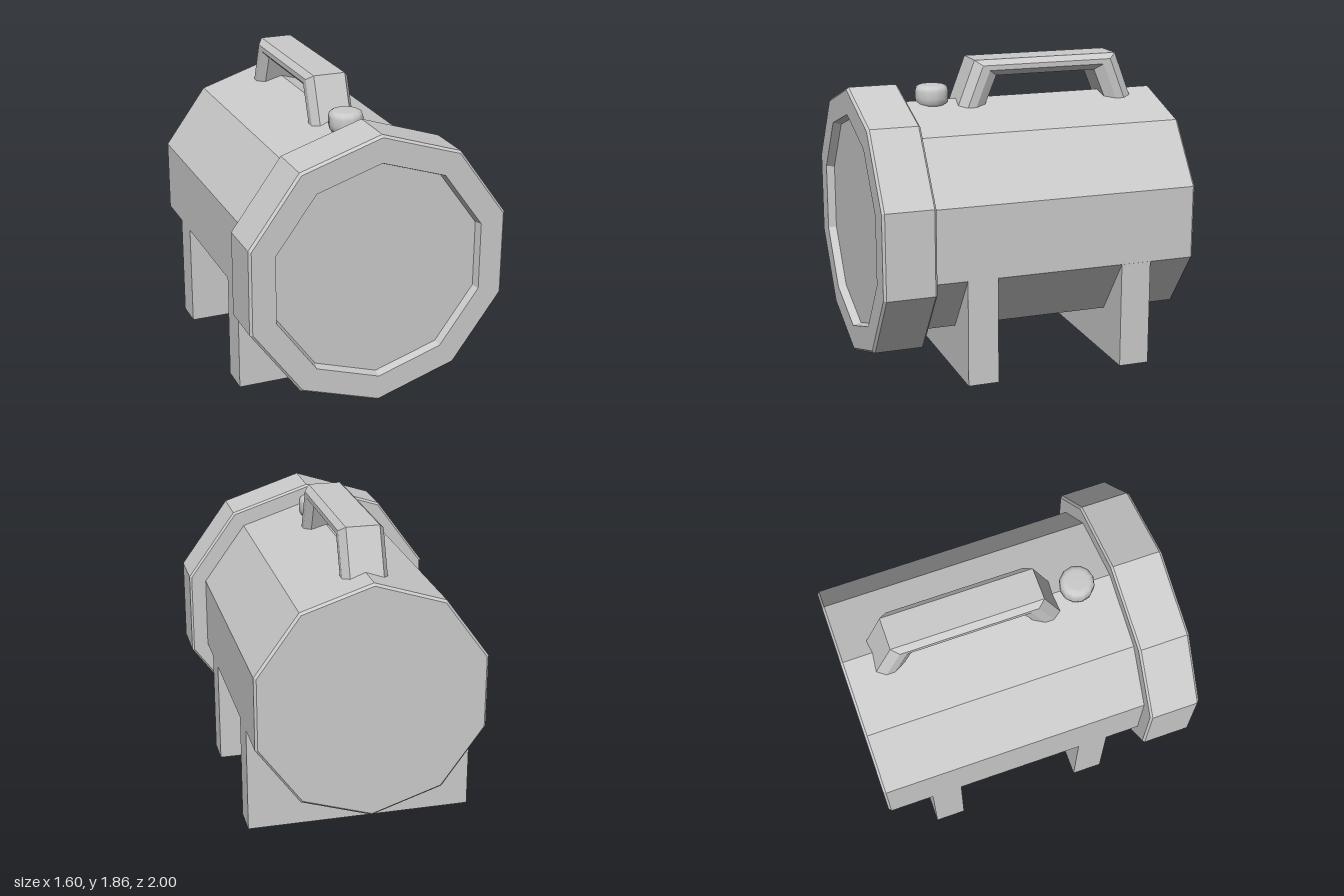
import * as THREE from 'three';

const AXIS_Y = 0.885; // height of the drum axis
const material = new THREE.MeshStandardMaterial({ color: 0xcccccc, flatShading: true });
const smoothMaterial = new THREE.MeshStandardMaterial({ color: 0xcccccc });

function addMesh(group, name, geometry, mat = material) {
  const mesh = new THREE.Mesh(geometry, mat);
  mesh.name = name;
  group.add(mesh);
  return mesh;
}

// Ten-sided solid turned around the z axis; profile is [radius, z] from back to front
function decagonSolid(profile) {
  const points = profile.map(([r, z]) => new THREE.Vector2(r, z));
  return new THREE.LatheGeometry(points, 10).rotateX(Math.PI / 2).translate(0, AXIS_Y, 0);
}

// Bevelled bar swept between an outer and an inner trapezoid in the zy plane
function handleGeometry() {
  const outer = [[0.333, 1.565], [0.22, 1.86], [-0.71, 1.86], [-0.823, 1.565]];
  const inner = [[0.16, 1.565], [0.08, 1.76], [-0.57, 1.76], [-0.65, 1.565]];
  const half = [[0.1, 0], [0.135, 0.32], [0.135, 0.63], [0.1, 1]];
  const section = [...half, ...half.map(([x, k]) => [-x, k]).reverse()];
  const n = section.length;
  const positions = [];
  const index = [];
  outer.forEach(([oz, oy], i) => {
    const [iz, iy] = inner[i];
    for (const [x, k] of section) {
      positions.push(x - 0.007, oy + (iy - oy) * k, oz + (iz - oz) * k);
    }
    if (i === 0) return;
    for (let j = 0; j < n; j++) {
      const a = (i - 1) * n + j;
      const b = (i - 1) * n + ((j + 1) % n);
      index.push(a, b, b + n, a, b + n, a + n);
    }
  });
  // End caps, sunk in the drum
  for (let j = 1; j < n - 1; j++) {
    index.push(0, j + 1, j, 3 * n, 3 * n + j, 3 * n + j + 1);
  }
  const geometry = new THREE.BufferGeometry();
  geometry.setAttribute('position', new THREE.Float32BufferAttribute(positions, 3));
  geometry.setIndex(index);
  geometry.computeVertexNormals();
  return geometry;
}

export function createModel() {
  const model = new THREE.Group();
  model.name = 'drumLamp';

  // Drum with a small bevel at the back
  addMesh(model, 'body', decagonSolid([[0, -1], [0.715, -1], [0.73, -0.985], [0.73, 0.72]]));

  // Wide front collar with a shallow recessed face
  addMesh(model, 'frontCollar', decagonSolid([
    [0.7, 0.68], [0.827, 0.68], [0.84, 0.693], [0.84, 0.985],
    [0.825, 1], [0.674, 1], [0.66, 0.95], [0, 0.95],
  ]));

  // Two slab feet, flush with the sides of the drum
  for (const [name, z] of [['frontFoot', 0.37], ['backFoot', -0.615]]) {
    addMesh(model, name, new THREE.BoxGeometry(1.388, 0.66, 0.19)).position.set(0, 0.33, z);
  }

  // Carrying handle
  addMesh(model, 'handle', handleGeometry());

  // Rounded push button
  const buttonProfile = [
    [0, -0.05], [0.085, -0.05], [0.1, -0.03], [0.105, 0], [0.105, 0.04],
    [0.098, 0.062], [0.08, 0.073], [0.06, 0.075], [0, 0.075],
  ].map(([r, y]) => new THREE.Vector2(r, y));
  addMesh(model, 'button', new THREE.LatheGeometry(buttonProfile, 12), smoothMaterial)
    .position.set(-0.003, 1.635, 0.467);

  return model;
}
